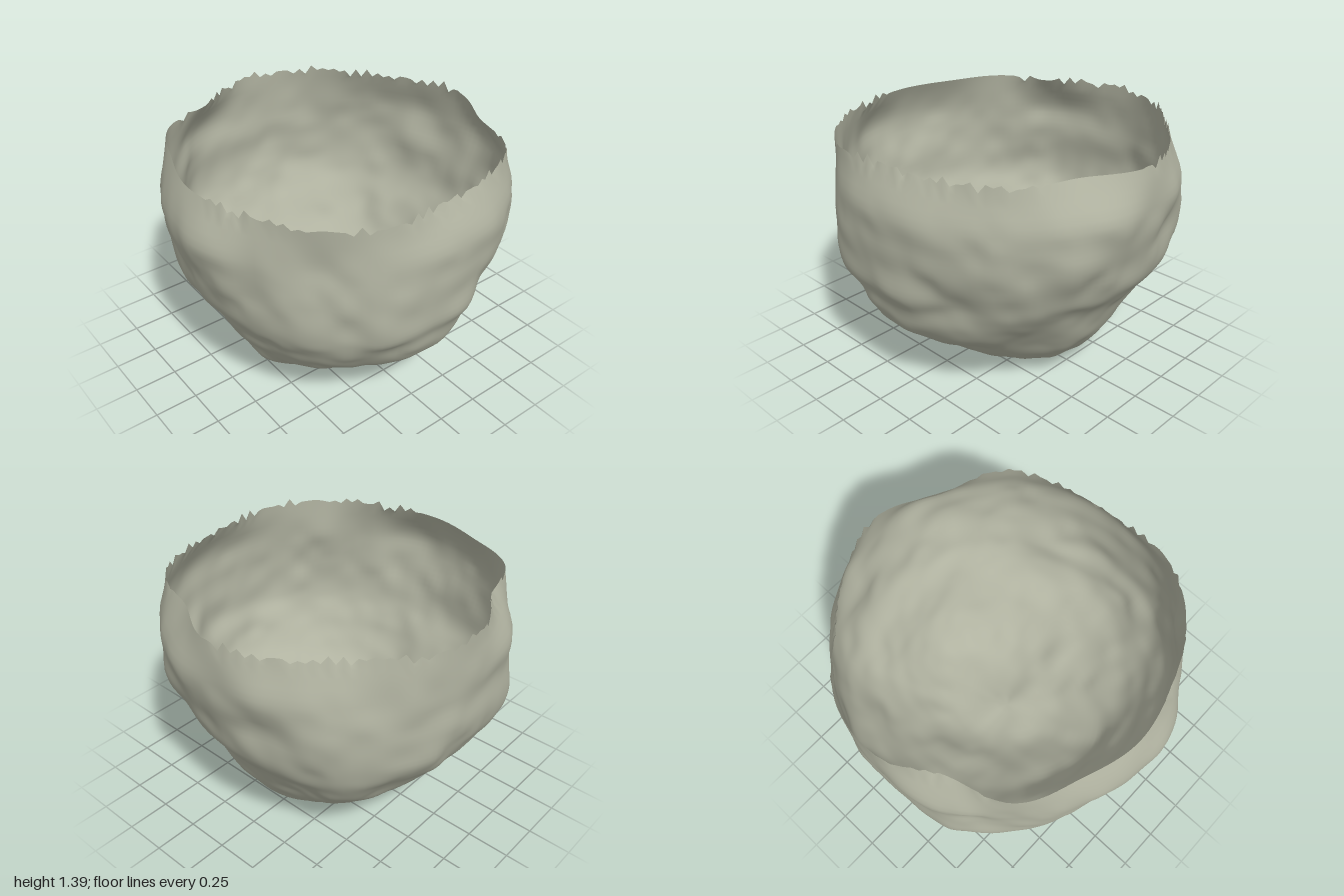
import * as THREE from 'three';
import { mergeVertices } from 'three/addons/utils/BufferGeometryUtils.js';

const SEG = 160, ROWS = 56, RIM = 1.36;
// rim radius every 22.5 degrees, from +x towards +z
const rim = [.87, .94, .93, .89, .895, .875, .92, .84, .94, .95, .89, .92, .96, .87, .94, .89];
// bulges and flats around the wall, same steps
const bulge = [.99, 1, .98, 1, 1, .985, .98, 1.01, .985, 1, .99, .985, .99, 1, .99, .985];
// wall radius every 45 degrees, from +x towards +z, for each height
const walls = [
  [.03, [.20, .23, .25, .22, .26, .32, .42, .32]],
  [.10, [.36, .40, .43, .38, .39, .46, .54, .46]],
  [.20, [.55, .58, .62, .55, .51, .60, .63, .59]],
  [.30, [.71, .71, .67, .67, .64, .72, .70, .68]],
  [.40, [.83, .80, .72, .77, .76, .80, .75, .76]],
  [.50, [.89, .87, .78, .85, .84, .87, .81, .83]],
  [.60, [.92, .92, .84, .91, .91, .93, .87, .88]],
  [.70, [.965, .95, .89, .95, .96, .96, .92, .92]],
  [.85, [.97, .97, .93, .97, .97, .99, .955, .98]],
  [1.0, [.98, .965, .97, .965, .955, .99, .99, 1]],
  [1.15, [.975, .95, .99, .96, .965, .97, 1.01, 1]],
];

// smooth periodic lookup
function ring(values, turn) {
  const n = values.length, f = turn * n, i = Math.floor(f), t = f - i;
  const v = k => values[(i + k + n) % n];
  return v(0) + 0.5 * t * (v(1) - v(-1) + t * (2 * v(-1) - 5 * v(0) + 4 * v(1) - v(2)
    + t * (3 * (v(0) - v(1)) + v(2) - v(-1))));
}

function hash(x, y, z) {
  const s = Math.sin(x * 127.1 + y * 311.7 + z * 74.7) * 43758.5453;
  return s - Math.floor(s);
}

// smooth value noise in -1..1
function noise(x, y, z) {
  const i = Math.floor(x), j = Math.floor(y), k = Math.floor(z);
  const s = t => t * t * t * (t * (t * 6 - 15) + 10);
  const u = s(x - i), v = s(y - j), w = s(z - k);
  let sum = 0;
  for (let c = 0; c < 8; c++) {
    const a = c & 1, b = (c >> 1) & 1, d = c >> 2;
    sum += hash(i + a, j + b, k + d) * (a ? u : 1 - u) * (b ? v : 1 - v) * (d ? w : 1 - w);
  }
  return sum * 2 - 1;
}

// one wall section from the bottom to the rim
function section(turn) {
  const pts = [new THREE.Vector3(0, 0.025, 0)];
  const swell = ring(bulge, turn);
  for (const [y, radii] of walls) pts.push(new THREE.Vector3(ring(radii, turn) * swell, y, 0));
  pts.push(new THREE.Vector3(ring(rim, turn), RIM, 0));
  return new THREE.CatmullRomCurve3(pts);
}

// ragged teeth, with two calm stretches of the edge
function tooth(i) {
  const deg = i / SEG * 360;
  if ((deg > 82 && deg < 140) || (deg > 272 && deg < 306)) return 0;
  return (hash(i, 2, 5) - 0.5) * 0.04 + (i % 2 ? 0.014 : -0.012);
}

function shellGeometry() {
  const points = [], index = [];
  const centre = new THREE.Vector3(0, 0.95, 0);
  for (let i = 0; i < SEG; i++) {
    const turn = i / SEG, a = turn * Math.PI * 2, curve = section(turn);
    for (let j = 0; j <= ROWS; j++) {
      const q = curve.getPoint(j / ROWS);
      const p = new THREE.Vector3(Math.cos(a) * q.x, q.y, Math.sin(a) * q.x);
      // lumps and dents, fading out towards the rim
      const lump = 0.022 * noise(p.x * 4.2 + 7.3, p.y * 4.2 + 3.1, p.z * 4.2 + 11.6)
        + 0.01 * noise(p.x * 8.5 + 31.4, p.y * 8.5 + 5.2, p.z * 8.5 + 17.7);
      const out = p.clone().sub(centre).normalize();
      p.addScaledVector(out, lump * Math.min(1, (RIM - q.y) / 0.3));
      p.y = j === ROWS ? RIM + tooth(i) : Math.max(0, p.y);
      points.push(p);
    }
  }
  const at = (i, j) => (i % SEG) * (ROWS + 1) + j;
  for (let i = 0; i < SEG; i++) {
    for (let j = 0; j < ROWS; j++) {
      const a = at(i, j), b = at(i + 1, j), c = at(i + 1, j + 1), d = at(i, j + 1);
      if (j > 0) index.push(a, c, b);
      index.push(a, d, c);
    }
  }
  const geo = new THREE.BufferGeometry().setFromPoints(points);
  geo.setIndex(index);
  const welded = mergeVertices(geo, 1e-4);
  welded.computeVertexNormals();
  return welded;
}

export function createModel() {
  const group = new THREE.Group();
  group.name = 'brokenStoneShell';
  const stone = new THREE.MeshStandardMaterial({ color: 0xb0b2a0, side: THREE.DoubleSide });
  stone.name = 'greyGreenStone';
  const shell = new THREE.Mesh(shellGeometry(), stone);
  shell.name = 'shell';
  group.add(shell);
  return group;
}
